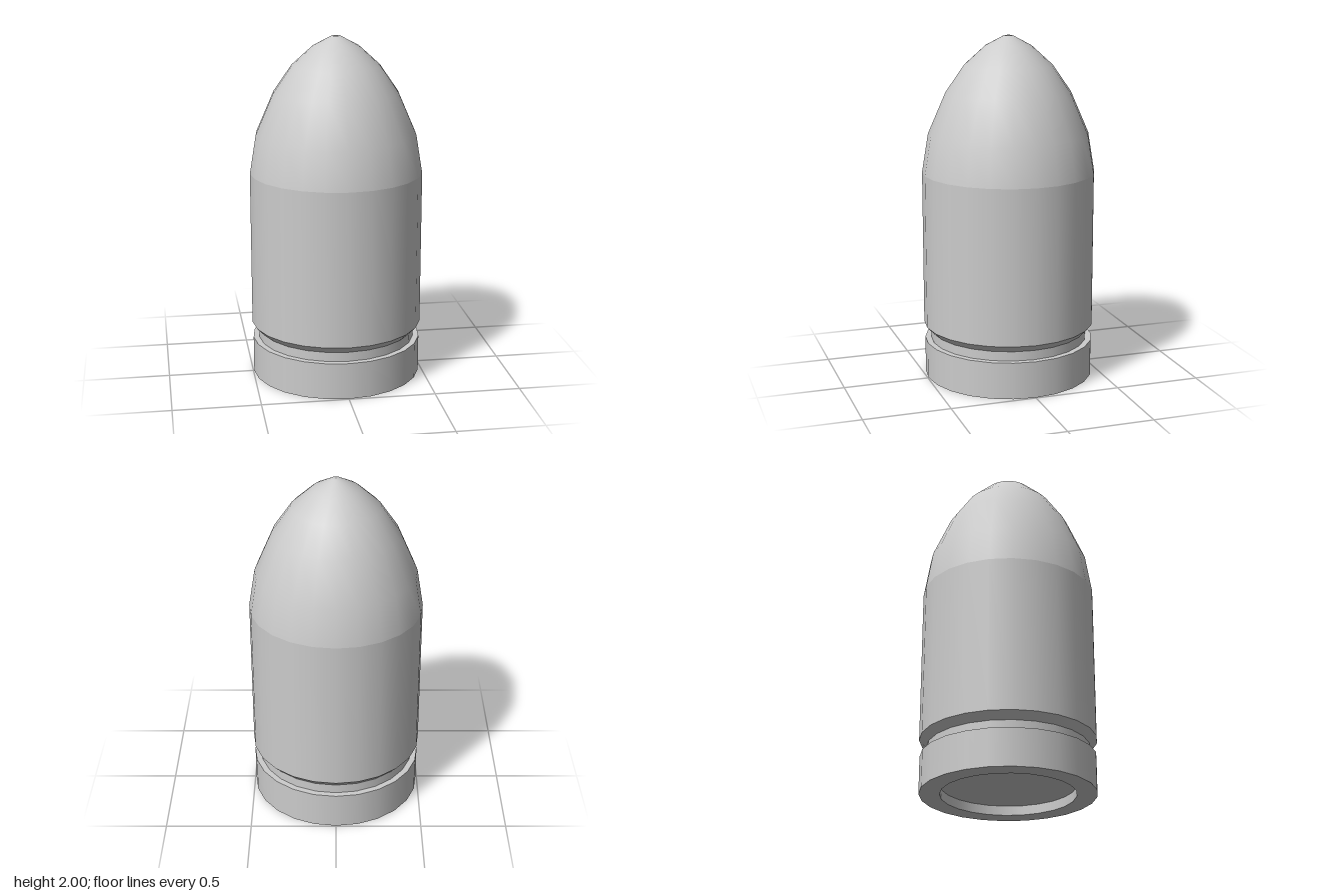
import * as THREE from 'three';

const SIDES = 24;
const material = new THREE.MeshStandardMaterial({ color: 0xcccccc });

// Smooth surface of revolution through [radius, height] points, listed from the bottom up
function turned(name, points) {
  const profile = points.map(([r, y]) => new THREE.Vector2(r, y));
  const mesh = new THREE.Mesh(new THREE.LatheGeometry(profile, SIDES), material);
  mesh.name = name;
  return mesh;
}

// One band per profile segment, so every edge between them stays sharp
function turnedSharp(name, points) {
  const group = new THREE.Group();
  group.name = name;
  for (let i = 0; i < points.length - 1; i++) {
    group.add(turned(`${name}Band${i + 1}`, [points[i], points[i + 1]]));
  }
  return group;
}

export function createModel() {
  const model = new THREE.Group();
  model.name = 'bullet';

  // Base rim with a shallow round recess underneath
  model.add(turnedSharp('baseRim', [
    [0, 0.055], [0.38, 0.055], [0.38, 0], [0.495, 0], [0.495, 0.215], [0.46, 0.215],
  ]));

  // Groove and the bevel leading out to the body
  model.add(turnedSharp('extractorGroove', [[0.46, 0.215], [0.46, 0.27], [0.5, 0.312]]));

  // Straight casing flowing into the pointed nose
  model.add(turned('casing', [[0.5, 0.312], [0.5, 1.215]]));
  model.add(turned('nose', [
    [0.5, 1.215], [0.463, 1.44], [0.36, 1.678], [0.254, 1.832],
    [0.132, 1.943], [0.025, 2], [0, 2],
  ]));

  return model;
}
